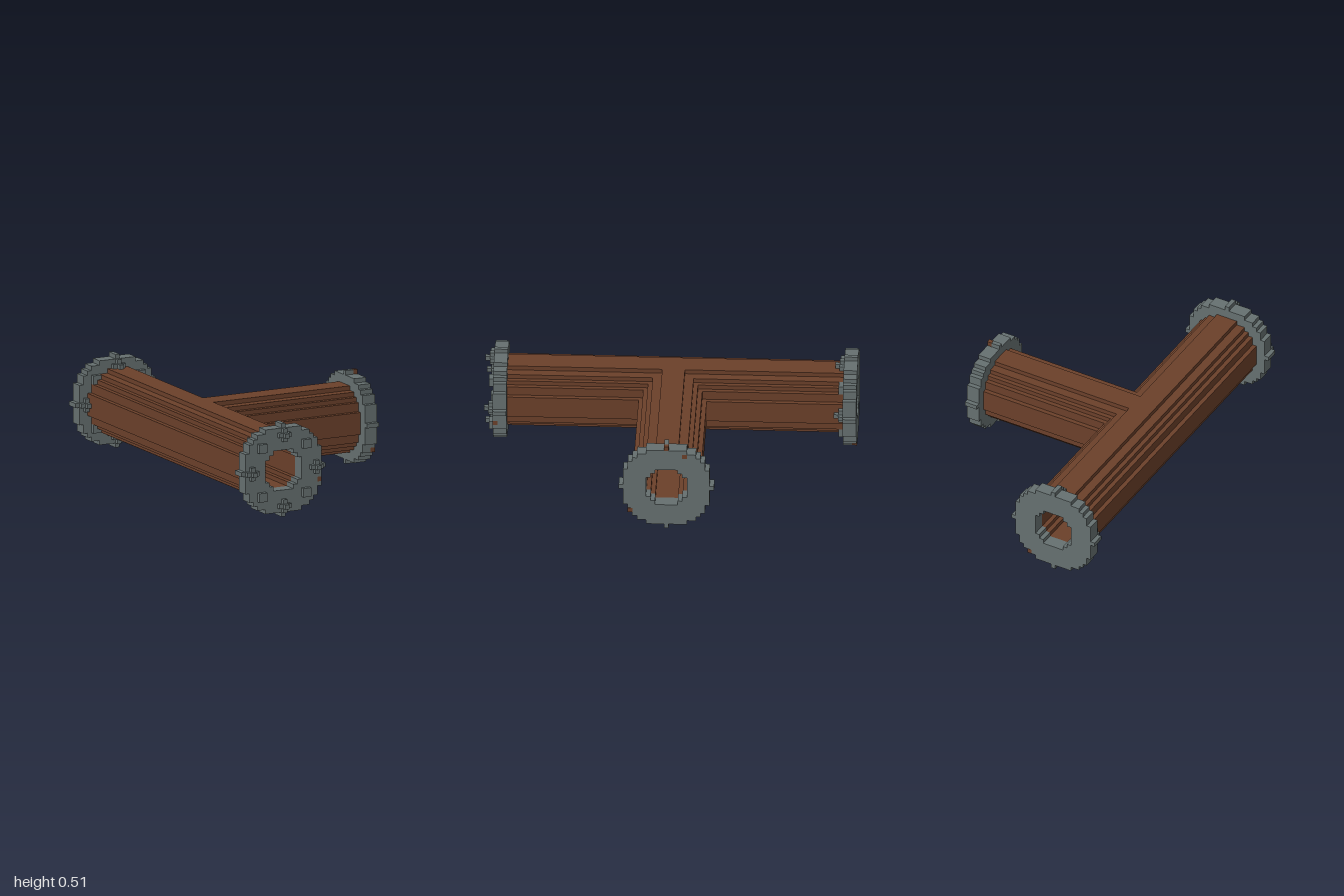
import * as THREE from 'three';

const UNIT = 2 / 82; // edge of one block; everything below is in blocks, pipe axis at the origin

const iron = new THREE.MeshStandardMaterial({ color: 0x667070 });
iron.name = 'iron grey';
const rust = new THREE.MeshStandardMaterial({ color: 0x6b402a });
rust.name = 'rust brown';

// Blocky disc outline: corner steps of one quadrant, turned four times
function steppedDisc(steps, Target) {
  const points = [];
  for (let q = 0; q < 4; q++) {
    const turn = (x, y) => {
      for (let i = 0; i < q; i++) [x, y] = [-y, x];
      points.push(new THREE.Vector2(x, y));
    };
    steps.forEach(([x, y], i) => {
      turn(x, y);
      if (i + 1 < steps.length) turn(steps[i + 1][0], y);
    });
  }
  return new Target(points);
}

const RIM = [[10.5, 0.5], [9.5, 4.5], [8.5, 6.5], [7.5, 7.5], [6.5, 8.5], [4.5, 9.5], [0.5, 10.5]];
const BORE = [[4.5, 2.5], [3.5, 3.5], [2.5, 4.5]];

function box(parent, name, material, size, at) {
  const mesh = new THREE.Mesh(new THREE.BoxGeometry(...size), material);
  mesh.name = name;
  mesh.position.set(...at);
  parent.add(mesh);
}

// Flange ring, 3 blocks thick, facing +z
function makeFlange(name, withBolts) {
  const flange = new THREE.Group();
  flange.name = name;
  const shape = steppedDisc(RIM, THREE.Shape);
  shape.holes.push(steppedDisc(BORE, THREE.Path));
  const ring = new THREE.Mesh(new THREE.ExtrudeGeometry(shape, { depth: 3, bevelEnabled: false }), iron);
  ring.name = 'flangeRing';
  flange.add(ring);
  if (!withBolts) return flange;

  // Square studs on the diagonals
  for (const x of [-5.5, 5.5]) {
    for (const y of [-5.5, 5.5]) box(flange, 'stud', iron, [2, 2, 1], [x, y, 3.5]);
  }
  // Cross-shaped bolts with a raised centre
  for (const [x, y] of [[8, 0], [-8, 0], [0, 8], [0, -8]]) {
    box(flange, 'boltBar', iron, [3, 1, 1], [x, y, 3.5]);
    box(flange, 'boltBar', iron, [1, 3, 1], [x, y, 3.5]);
    box(flange, 'boltTip', iron, [1, 1, 1], [x, y, 4.5]);
  }
  return flange;
}

// T-shaped pipe, stacked from horizontal bands
const FRONT = -36.5, BACK = 37.5, END = 36.5;
const BANDS = [ // bottom, top, outer half width, inner half width
  [2.5, 3.5, 6.5, 3.5], [3.5, 4.5, 6.5, 2.5],
  [4.5, 5.5, 5.5, 0], [5.5, 6.5, 4.5, 0], [6.5, 7.5, 2.5, 0],
];

function pipeBand(parent, bottom, top, w, h) {
  const plans = h === 0
    ? [[[-w, FRONT], [w, FRONT], [w, -w], [END, -w], [END, w], [w, w], [w, BACK], [-w, BACK]]]
    : [
      [[-w, FRONT], [-h, FRONT], [-h, BACK], [-w, BACK]],
      [[h, h], [END, h], [END, w], [w, w], [w, BACK], [h, BACK]],
      [[h, -h], [END, -h], [END, -w], [w, -w], [w, FRONT], [h, FRONT]],
    ];
  const shapes = plans.map((p) => new THREE.Shape(p.map(([x, y]) => new THREE.Vector2(x, y))));
  const geometry = new THREE.ExtrudeGeometry(shapes, { depth: top - bottom, bevelEnabled: false });
  geometry.rotateX(-Math.PI / 2).translate(0, bottom, 0);
  const mesh = new THREE.Mesh(geometry, rust);
  mesh.name = 'pipeBand';
  parent.add(mesh);
}

export function createModel() {
  const model = new THREE.Group();
  model.name = 'pipeJunction';
  const blocks = new THREE.Group();
  blocks.name = 'junctionBody';
  blocks.scale.setScalar(UNIT);
  blocks.position.set(-14.5 * UNIT, 10.5 * UNIT, -0.5 * UNIT);
  model.add(blocks);

  const pipe = new THREE.Group();
  pipe.name = 'pipe';
  blocks.add(pipe);
  pipeBand(pipe, -2.5, 2.5, 7.5, 4.5);
  for (const [bottom, top, w, h] of BANDS) {
    pipeBand(pipe, bottom, top, w, h);
    pipeBand(pipe, -top, -bottom, w, h);
  }

  const front = makeFlange('frontFlange', true);
  front.position.z = 36.5;
  const back = makeFlange('backFlange', true);
  back.position.z = -40.5;
  const side = makeFlange('sideFlange', false);
  side.rotation.y = Math.PI / 2;
  side.position.x = 36.5;
  blocks.add(front, back, side);

  // Single rusted blocks in the flange rims
  for (const at of [[9, -3, 39], [6, -8, -40], [39, -6, 8], [39, 8, -4], [39, 10, 0]]) {
    box(blocks, 'rustSpot', rust, [1.04, 1.04, 1.04], at);
  }
  return model;
}
